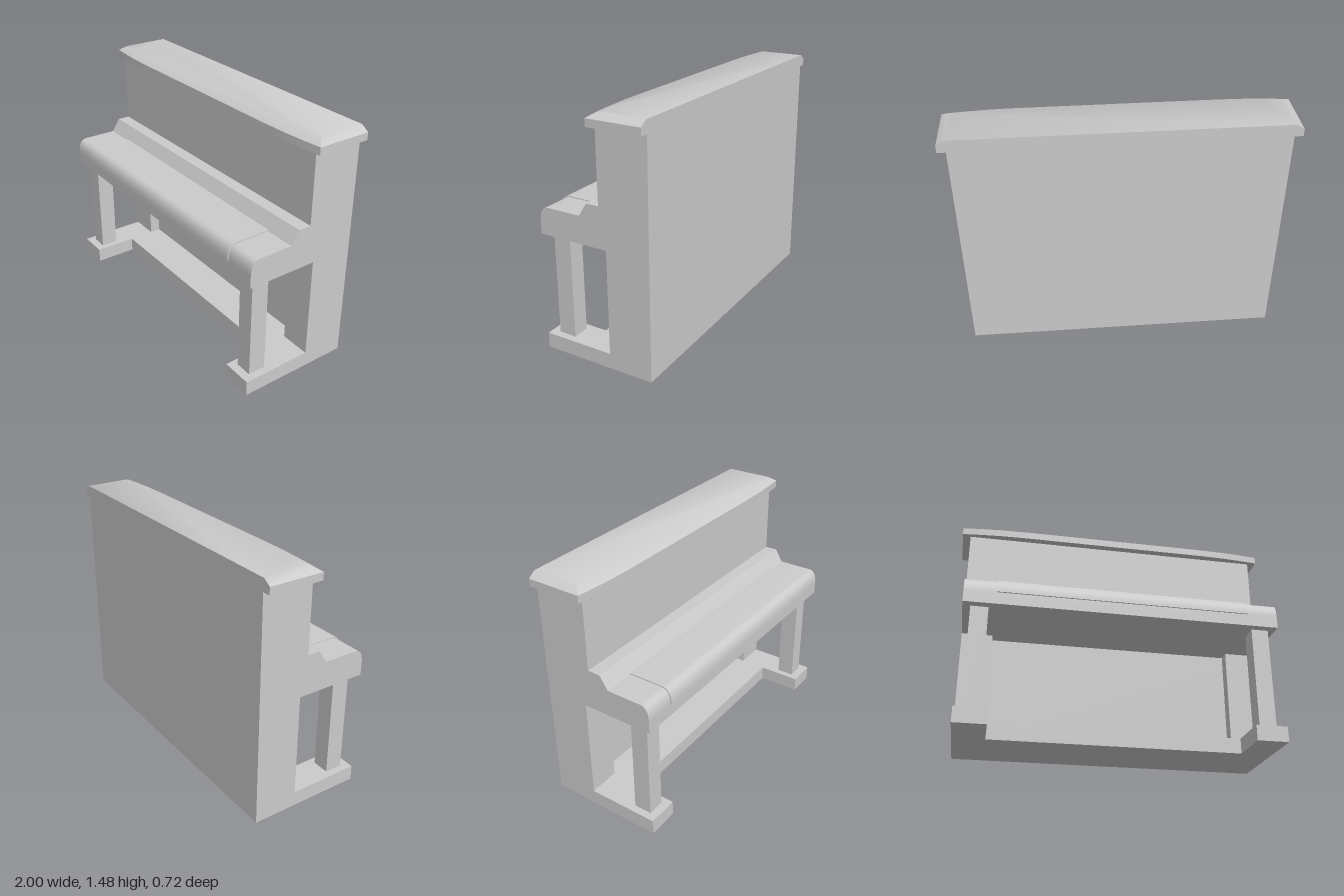
import * as THREE from 'three';
import { toCreasedNormals } from 'three/addons/utils/BufferGeometryUtils.js';

const BACK = -0.36, HALF = 0.95, INNER = 0.76, KEYBED = 0.725, FOOT = 0.093;

export function createModel() {
  const model = new THREE.Group();
  model.name = 'uprightPiano';
  const material = new THREE.MeshStandardMaterial({ color: 0xcccccc });

  function add(name, geometry) {
    const mesh = new THREE.Mesh(geometry, material);
    mesh.name = name;
    model.add(mesh);
    return mesh;
  }

  // Box given by its limits on each axis
  function box(name, x0, x1, y0, y1, z0, z1) {
    add(name, new THREE.BoxGeometry(x1 - x0, y1 - y0, z1 - z0))
      .position.set((x0 + x1) / 2, (y0 + y1) / 2, (z0 + z1) / 2);
  }

  // Side profile in (z, y), extruded across the width
  function acrossWidth(name, shape, halfWidth) {
    const g = new THREE.ExtrudeGeometry(shape, { depth: halfWidth * 2, bevelEnabled: false, curveSegments: 10 });
    g.translate(0, 0, -halfWidth);
    g.rotateY(-Math.PI / 2);
    add(name, toCreasedNormals(g, 0.6));
  }

  // Upper case with key shelf and rounded front
  const body = new THREE.Shape();
  body.moveTo(BACK, KEYBED);
  body.lineTo(0.352, KEYBED);
  body.lineTo(0.352, 0.8);
  body.bezierCurveTo(0.352, 0.855, 0.335, 0.89, 0.295, 0.89);
  body.lineTo(0.082, 0.89);
  body.lineTo(0.03, 0.97);
  body.lineTo(-0.048, 0.97);
  body.lineTo(-0.048, 1.405);
  body.lineTo(BACK, 1.405);
  body.closePath();
  acrossWidth('upperCase', body, HALF);

  // Thin key cover wrapped over the rounded front
  const cover = new THREE.Shape();
  cover.moveTo(0.33, 0.8);
  cover.lineTo(0.36, 0.8);
  cover.bezierCurveTo(0.36, 0.86, 0.34, 0.896, 0.297, 0.896);
  cover.lineTo(0.078, 0.896);
  cover.lineTo(0.078, 0.86);
  cover.lineTo(0.3, 0.86);
  cover.closePath();
  acrossWidth('keyCover', cover, INNER);

  // Lower case: recessed panel, base board
  box('lowerPanel', -HALF, HALF, 0, KEYBED, BACK, -0.16);
  box('baseBoard', -INNER, INNER, 0, FOOT, -0.16, 0.08);

  // Side stiles, feet and legs
  for (const s of [-1, 1]) {
    const side = (name, a, b, ...rest) => box(name, Math.min(s * a, s * b), Math.max(s * a, s * b), ...rest);
    side('sideStile', INNER, HALF, FOOT, KEYBED, -0.16, -0.088);
    side('foot', INNER, HALF, 0, FOOT, -0.16, 0.352);
    side('frontLeg', 0.8, 0.905, FOOT, KEYBED, 0.19, 0.3);
  }

  add('lid', lidGeometry());
  return model;
}

// Lid with a slightly bowed front and bevelled front and ends
function lidGeometry() {
  const front = [[-1, -0.025], [-0.88, -0.013], [-0.76, -0.004], [-0.6, 0], [0.6, 0], [0.76, -0.004], [0.88, -0.013], [1, -0.025]];
  const ring = (y, inset) => [[-1, BACK], ...front, [1, BACK]].map(([x, z], i, all) =>
    new THREE.Vector3(x * (1 - inset), y, i === 0 || i === all.length - 1 ? z : z - inset));
  const rings = [ring(1.405, 0), ring(1.45, 0), ring(1.48, 0.046)];
  const n = rings[0].length;
  const points = [];
  const tri = (...p) => p.forEach(v => points.push(v));
  for (let r = 0; r < 2; r++) {
    for (let i = 0; i < n; i++) {
      const j = (i + 1) % n, lo = rings[r], hi = rings[r + 1];
      tri(lo[i], lo[j], hi[j]);
      tri(lo[i], hi[j], hi[i]);
    }
  }
  for (let i = 1; i < n - 1; i++) {
    tri(rings[2][0], rings[2][i], rings[2][i + 1]);
    tri(rings[0][0], rings[0][i + 1], rings[0][i]);
  }
  return toCreasedNormals(new THREE.BufferGeometry().setFromPoints(points), 0.65);
}
